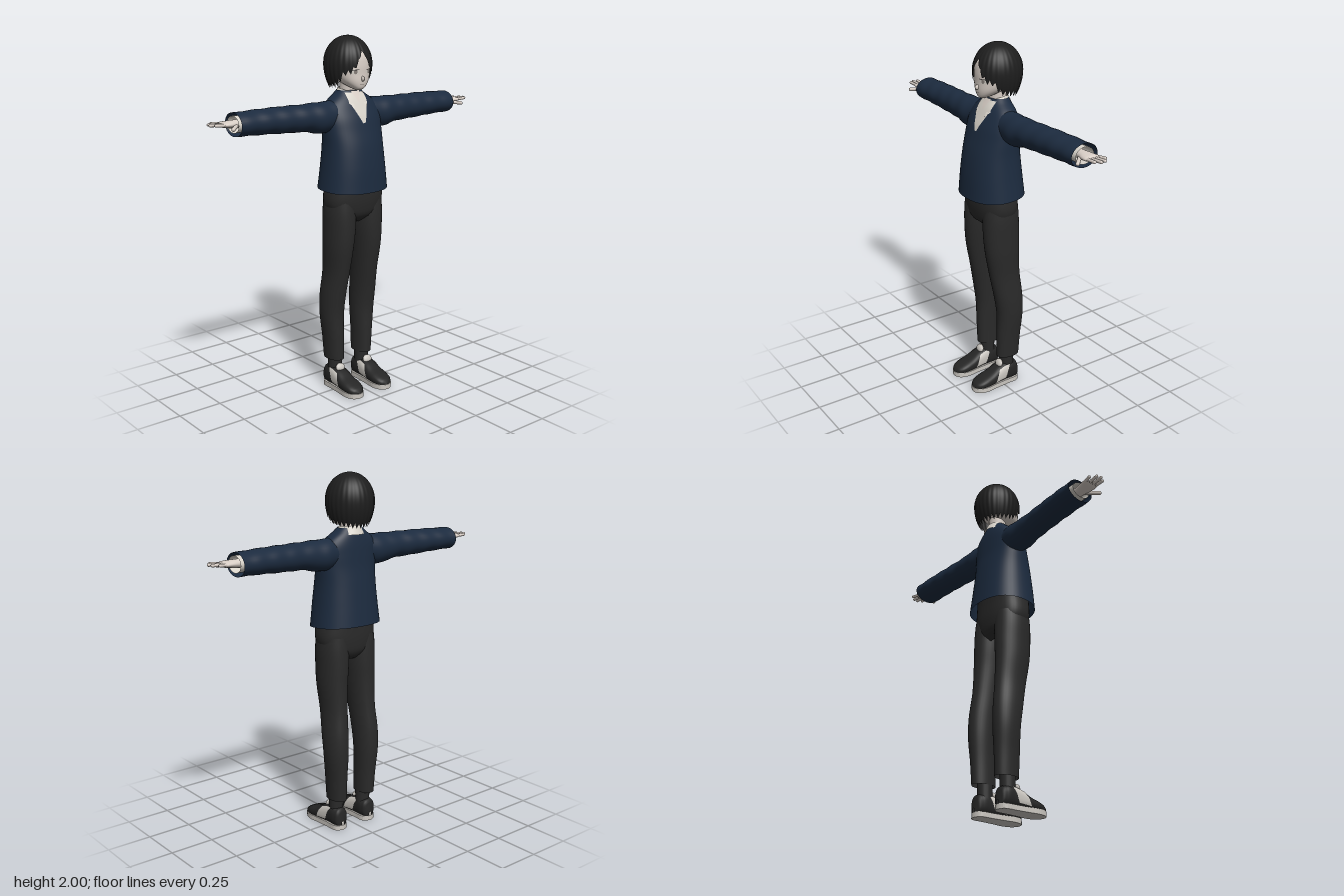
import * as THREE from 'three';
import { mergeGeometries } from 'three/addons/utils/BufferGeometryUtils.js';

const mat = (name, color, side = THREE.DoubleSide) => new THREE.MeshStandardMaterial({ name, color, side });

// Smooth lookup in a table of rows whose first column is the (rising) key
function track(rows) {
  const n = rows[0].length - 1;
  const it = new THREE.CubicInterpolant(rows.map(r => r[0]), rows.flatMap(r => r.slice(1)), n, new Float32Array(n));
  const at = k => Array.from(it.evaluate(k));
  at.min = rows[0][0];
  at.max = rows[rows.length - 1][0];
  return at;
}

// Grid surface from fn(u, v) -> [x, y, z]; closed joins u = 1 to u = 0
function surface(nu, nv, closed, fn) {
  const pos = [], idx = [], cols = closed ? nu : nu + 1;
  for (let j = 0; j <= nv; j++)
    for (let i = 0; i < cols; i++) pos.push(...fn(i / nu, j / nv));
  for (let j = 0; j < nv; j++)
    for (let i = 0; i < nu; i++) {
      const a = j * cols + i, b = j * cols + (i + 1) % cols;
      idx.push(a, b, b + cols, a, b + cols, a + cols);
    }
  const g = new THREE.BufferGeometry();
  g.setAttribute('position', new THREE.Float32BufferAttribute(pos, 3));
  g.setIndex(idx);
  g.computeVertexNormals();
  return g;
}

const TAU = Math.PI * 2;
const lerp = THREE.MathUtils.lerp;
const sup = (s, p) => Math.sign(s) * Math.abs(s) ** (2 / p);

// Upright loft, rows: y, centre x, half width, front z, back z
const loftY = (t, p, nu, nv, bend = q => q) => surface(nu, nv, true, (u, v) => {
  const y = lerp(t.min, t.max, v), [cx, rx, zf, zb] = t(y), a = u * TAU;
  return bend([cx + rx * sup(Math.sin(a), p), y, (zf + zb) / 2 + (zf - zb) / 2 * sup(Math.cos(a), p)]);
});

// Sideways loft, rows: x, centre y, half height, centre z, half depth
const loftX = (t, nu, nv, ripple = 0) => surface(nu, nv, true, (u, v) => {
  const x = lerp(t.min, t.max, v), [cy, ry, cz, rz] = t(x), a = u * TAU;
  const r = 1 + ripple * Math.sin(x * 55 + 2 * Math.sin(a));
  return [x, cy + ry * r * Math.cos(a), cz + rz * r * Math.sin(a)];
});

// Thin patch lying on the front of an upright loft; span(v) -> [x0, x1]
const patch = (t, p, y0, y1, off, span) => surface(10, 14, false, (u, v) => {
  const y = lerp(y0, y1, v), [x0, x1] = span(v), x = lerp(x0, x1, u), [, rx, zf, zb] = t(y);
  const k = Math.max(0, 1 - Math.abs(x / rx) ** p) ** (1 / p);
  return [x, y, (zf + zb) / 2 + (zf - zb) / 2 * k + off];
});

// Rounded rod between two points
function rod(a, b, r) {
  const A = new THREE.Vector3(...a), B = new THREE.Vector3(...b), d = B.clone().sub(A);
  const g = new THREE.CapsuleGeometry(r, d.length(), 4, 10);
  g.applyQuaternion(new THREE.Quaternion().setFromUnitVectors(new THREE.Vector3(0, 1, 0), d.normalize()));
  const c = A.add(B).multiplyScalar(0.5);
  return g.translate(c.x, c.y, c.z);
}

function mirrored(geo) {
  const g = geo.clone().scale(-1, 1, 1), ix = g.index.array;
  for (let i = 0; i < ix.length; i += 3) [ix[i], ix[i + 1]] = [ix[i + 1], ix[i]];
  return g;
}

export function createModel() {
  const root = new THREE.Group();
  root.name = 'standingFigure';
  const skin = mat('skin', 0xd9cfc7), hairMat = mat('hair', 0x1e1e1e), navy = mat('sweaterNavy', 0x1c2b3f);
  const white = mat('shirtWhite', 0xd8d3ca), black = mat('trouserBlack', 0x2a2a2a);
  const shoeDark = mat('shoeDark', 0x252525), pale = mat('shoePale', 0xcbc7c1), grey = mat('irisGrey', 0x857d78);
  const add = (name, geo, m) => {
    const mesh = new THREE.Mesh(geo, m);
    mesh.name = name;
    root.add(mesh);
  };
  const pair = (name, geo, m) => {
    add(name + 'Left', geo, m);
    add(name + 'Right', mirrored(geo), m);
  };

  // Sweater body with a hem that rises at the back
  const torso = track([[1.175, 0, .2, .155, -.165], [1.3, 0, .186, .146, -.152], [1.42, 0, .177, .128, -.137],
    [1.5, 0, .178, .106, -.126], [1.57, 0, .178, .084, -.12], [1.62, 0, .168, .06, -.115],
    [1.66, 0, .135, .04, -.108], [1.69, 0, .092, .022, -.1], [1.71, 0, .07, .01, -.092]]);
  add('sweaterBody', loftY(torso, 2.3, 48, 40, ([x, y, z]) => [x, y - Math.max(0, 1.3 - y) * z * .5, z]), navy);

  // Sleeves, shirt cuffs
  pair('sleeve', loftX(track([[.1, 1.58, .078, -.03, .07], [.2, 1.573, .085, -.028, .08], [.3, 1.581, .074, -.028, .075],
    [.45, 1.584, .07, -.036, .075], [.6, 1.586, .065, -.042, .079], [.73, 1.585, .061, -.046, .081]]), 32, 50, .02), navy);
  pair('shirtCuff', loftX(track([[.6, 1.587, .042, -.045, .055], [.735, 1.587, .044, -.045, .056]]), 24, 2), white);

  // Hands: palm, four fingers and a thumb
  const hand = [loftX(track([[.6, 1.588, .026, -.04, .03], [.72, 1.59, .022, -.04, .032], [.77, 1.592, .018, -.038, .043],
    [.805, 1.593, .012, -.04, .043], [.818, 1.593, .001, -.04, .03]]), 20, 20)];
  [[-.072, -.082, .84], [-.05, -.056, .868], [-.028, -.03, .873], [-.007, -.004, .855]].forEach(([z0, z1, x1]) =>
    hand.push(rod([.79, 1.593, z0], [x1, 1.597, z1], .0085)));
  hand.push(rod([.735, 1.583, -.012], [.785, 1.577, .04], .0105));
  hand.forEach(g => g.deleteAttribute('uv'));
  pair('hand', mergeGeometries(hand), skin);

  // Shirt front, open throat, neck and folded collar
  add('shirtFront', patch(torso, 2.3, 1.54, 1.7, .004, v => {
    const w = Math.min(.062, .008 + .075 * v);
    return [-w, w];
  }), white);
  add('throat', patch(torso, 2.3, 1.645, 1.708, .008, v => [-.032 * v, .032 * v]), skin);
  add('neck', loftY(track([[1.62, 0, .055, .01, -.1], [1.7, 0, .049, .008, -.09], [1.78, 0, .05, .02, -.09]]), 2, 24, 6), skin);
  add('collar', surface(48, 4, false, (u, v) => {
    const a = lerp(.36, TAU - .36, u), d = Math.abs(u * 2 - 1);
    const r = lerp(.08 + .037 * d ** 4, .058, v), y = lerp(1.675 - .055 * d ** 6, 1.722 - .03 * d ** 4, v);
    return [r * Math.sin(a), y, -.04 + r * Math.cos(a)];
  }), white);

  // Head and face
  const face = track([[1.714, 0, .012, .062, .03], [1.722, 0, .03, .073, .01], [1.735, 0, .05, .078, -.02], [1.76, 0, .078, .082, -.08],
    [1.8, 0, .098, .081, -.12], [1.85, 0, .105, .08, -.135], [1.9, 0, .095, .07, -.13], [1.95, 0, .06, .035, -.1]]);
  add('head', loftY(face, 2.2, 40, 28), skin);
  add('nose', new THREE.SphereGeometry(1, 14, 10).scale(.008, .014, .018).translate(0, 1.776, .081), skin);
  add('mouth', patch(face, 2.2, 1.746, 1.748, .002, () => [-.016, .016]), grey);
  const oval = (c, w) => v => {
    const h = w * Math.sqrt(Math.max(0, 1 - (2 * v - 1) ** 2));
    return [c - h, c + h];
  };
  pair('eyeWhite', patch(face, 2.2, 1.8, 1.824, .002, oval(.044, .021)), white);
  pair('iris', patch(face, 2.2, 1.802, 1.824, .004, oval(.043, .009)), grey);
  pair('upperLash', patch(face, 2.2, 1.823, 1.826, .005, () => [.024, .066]), hairMat);

  // Hair: ridged dome whose lower edge parts at the forehead and ends in pointed locks
  const edge = track([[0, 1.925], [.15, 1.885], [.35, 1.832], [.6, 1.797], [.85, 1.79], [1.1, 1.748], [1.5, 1.73], [2.1, 1.718], [3.15, 1.708]]);
  add('hair', surface(168, 26, true, (u, v) => {
    const a = u * TAU, t = 1 - v, side = Math.min(a, TAU - a);
    const saw = Math.abs(((side / TAU * 28) % 1) - .5) * 2;
    const low = edge(side)[0] + .03 * saw * Math.min(1, side * 2);
    const y = 2 - (2 - low) * t ** 1.8;
    const f = y > 1.85 ? Math.sqrt(Math.max(0, 1 - ((y - 1.85) / .15) ** 2)) : 1 - .25 * ((1.85 - y) / .13) ** 2;
    const r = f * (1 - .022 * saw * t);
    return [.131 * r * Math.sin(a), y, -.045 + .137 * r * Math.cos(a)];
  }), hairMat);

  // Trousers: seat and two legs
  add('trouserSeat', loftY(track([[.985, 0, .045, .04, -.07], [1.02, 0, .13, .085, -.1], [1.08, 0, .172, .106, -.113],
    [1.2, 0, .172, .113, -.115], [1.26, 0, .165, .11, -.115]]), 2.4, 40, 16), black);
  const leg = track([[.175, .1, .047, .018, -.122], [.3, .104, .052, .02, -.128], [.45, .109, .062, .021, -.138],
    [.55, .108, .064, .036, -.136], [.7, .1, .064, .065, -.12], [.85, .098, .074, .092, -.113],
    [.95, .094, .08, .1, -.113], [1.05, .092, .083, .1, -.11], [1.12, .09, .08, .095, -.105]]);
  pair('trouserLeg', loftY(leg, 2.1, 32, 40), black);
  pair('sock', new THREE.CylinderGeometry(.043, .04, .18, 20).translate(.098, .17, -.045), black);

  // Shoes: upper lofted from heel to toe, rows: z, top height, half width
  const upper = track([[-.112, .05, .008], [-.105, .1, .03], [-.08, .125, .043], [-.02, .13, .046], [.03, .115, .05],
    [.08, .09, .054], [.13, .073, .054], [.165, .058, .043], [.183, .045, .024], [.19, .03, .004]]);
  const shoePoint = (z, a, k) => {
    const [h, w] = upper(z), m = (h + .014) / 2;
    return [.102 - w * k * sup(Math.sin(a), 2.5), m + (m - .014) * k * sup(Math.cos(a), 2.5), z];
  };
  pair('shoeUpper', surface(32, 40, true, (u, v) => shoePoint(lerp(upper.min, upper.max, v), u * TAU, 1)), shoeDark);
  for (const [name, a0, a1] of [['shoeOuterPanel', -2, -.75], ['shoeInnerPanel', 2, .75]])
    pair(name, surface(10, 8, false, (u, v) => {
      const s = a0 < 0 ? u : 1 - u;
      return shoePoint(lerp(-.035, .04, v) + .03 * (1 - s) - .01 * s, lerp(a0, a1, s), 1.06);
    }), pale);
  pair('shoeTongue', new THREE.SphereGeometry(1, 16, 10).scale(.03, .024, .014).rotateX(-.4).translate(.1, .128, .008), pale);

  // Soles
  const half = [[.04, -.095], [.046, -.02], [.051, .06], [.056, .125], [.038, .175]];
  const loop = [[0, -.114], ...half, [0, .192], ...half.map(([x, z]) => [-x, z]).reverse()];
  const curve = new THREE.CatmullRomCurve3(loop.map(([x, z]) => new THREE.Vector3(x + .102, -z, 0)), true);
  const shape = new THREE.Shape(curve.getPoints(48).slice(0, -1).map(p => new THREE.Vector2(p.x, p.y)));
  const sole = new THREE.ExtrudeGeometry(shape, { depth: .028, bevelEnabled: false }).rotateX(-Math.PI / 2);
  sole.setIndex([...Array(sole.attributes.position.count).keys()]);
  pair('shoeSole', sole, pale);

  return root;
}
